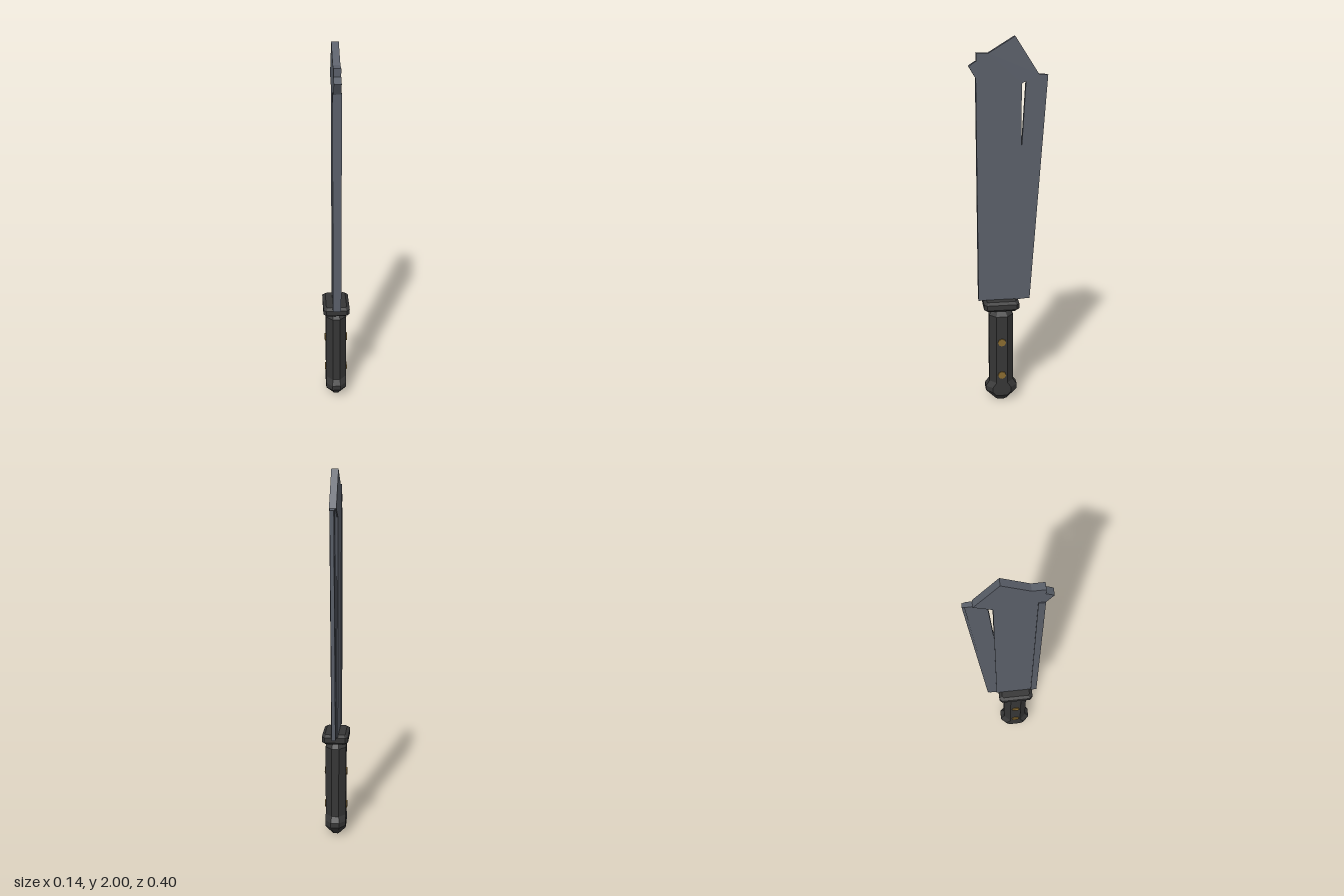
import * as THREE from 'three';

const steel = new THREE.MeshStandardMaterial({ color: 0x5a5f69 });
steel.name = 'steel';
const grip = new THREE.MeshStandardMaterial({ color: 0x363636 });
grip.name = 'dark grip';
const brass = new THREE.MeshStandardMaterial({ color: 0x8a6c30 });
brass.name = 'brass';

const HANDLE_Z = 0.043;

// Flat plate from a [z, y] outline, centred on x = 0
function plate(name, outline, halfThickness) {
  const shape = new THREE.Shape(outline.map(([z, y]) => new THREE.Vector2(z, y)));
  const geo = new THREE.ExtrudeGeometry(shape, { depth: halfThickness * 2, bevelEnabled: false });
  geo.translate(0, 0, -halfThickness);
  geo.rotateY(-Math.PI / 2);
  const mesh = new THREE.Mesh(geo, steel);
  mesh.name = name;
  return mesh;
}

// Faceted solid through chamfered rectangles: [y, halfX, halfZ, chamferX, chamferZ]
function loft(name, rings) {
  const points = rings.map(([y, w, d, cx, cz]) => [
    [w, d - cz], [w, cz - d], [w - cx, -d], [cx - w, -d],
    [-w, cz - d], [-w, d - cz], [cx - w, d], [w - cx, d],
  ].map(([x, z]) => [x, y, z]));
  const pos = [];
  const tri = (a, b, c) => pos.push(...a, ...b, ...c);
  const last = points[points.length - 1];
  for (let i = 0; i < 8; i++) {
    const j = (i + 1) % 8;
    for (let r = 0; r < points.length - 1; r++) {
      const lo = points[r], hi = points[r + 1];
      tri(lo[i], lo[j], hi[j]);
      tri(lo[i], hi[j], hi[i]);
    }
    tri([0, rings[0][0], 0], points[0][j], points[0][i]);
    tri([0, rings[rings.length - 1][0], 0], last[i], last[j]);
  }
  const geo = new THREE.BufferGeometry();
  geo.setAttribute('position', new THREE.Float32BufferAttribute(pos, 3));
  geo.computeVertexNormals();
  const mesh = new THREE.Mesh(geo, grip);
  mesh.name = name;
  mesh.position.z = HANDLE_Z;
  return mesh;
}

export function createModel() {
  const model = new THREE.Group();
  model.name = 'machete';

  // Blade body with the pointed tip
  model.add(plate('bladeBody', [
    [0.162, 0.61], [0.162, 1.92], [0.1, 1.92], [-0.032, 2.0],
    [-0.152, 1.815], [-0.065, 1.77], [-0.065, 0.607],
  ], 0.018));

  // Thinner cutting side, leaving a narrow slot beside the body
  model.add(plate('bladeBevel', [
    [-0.06, 0.607], [-0.06, 1.44], [-0.068, 1.46], [-0.088, 1.79],
    [-0.152, 1.815], [-0.188, 1.812], [-0.105, 0.607],
  ], 0.0125));
  model.add(plate('cuttingEdge', [
    [-0.1, 0.606], [-0.182, 1.811], [-0.199, 1.81], [-0.115, 0.606],
  ], 0.01));

  // Thick spine and the small hook above it
  model.add(plate('spine', [[0.132, 0.61], [0.165, 0.61], [0.165, 1.8], [0.132, 1.8]], 0.022));
  model.add(plate('spineHook', [[0.155, 1.79], [0.165, 1.798], [0.2, 1.857], [0.165, 1.88], [0.155, 1.88]], 0.0182));

  // Guard
  model.add(loft('guard', [
    [0.555, 0.055, 0.079, 0.008, 0.008],
    [0.569, 0.071, 0.096, 0.016, 0.016],
    [0.597, 0.071, 0.096, 0.016, 0.016],
    [0.61, 0.055, 0.079, 0.008, 0.008],
  ]));

  // Grip, narrowing under the guard
  model.add(loft('handleGrip', [
    [0.1, 0.056, 0.066, 0.036, 0.036],
    [0.522, 0.056, 0.066, 0.036, 0.036],
    [0.552, 0.032, 0.042, 0.018, 0.022],
    [0.565, 0.032, 0.042, 0.018, 0.022],
  ]));

  // Flared pommel
  model.add(loft('pommel', [
    [0, 0.022, 0.03, 0.01, 0.014],
    [0.04, 0.056, 0.066, 0.036, 0.036],
    [0.062, 0.057, 0.087, 0.034, 0.036],
    [0.09, 0.057, 0.087, 0.034, 0.036],
    [0.12, 0.056, 0.066, 0.036, 0.036],
  ]));

  // Rivets passing through the grip
  for (const y of [0.17, 0.37]) {
    const geo = new THREE.CylinderGeometry(0.022, 0.022, 0.124, 8).toNonIndexed();
    geo.computeVertexNormals();
    geo.rotateZ(Math.PI / 2);
    const rivet = new THREE.Mesh(geo, brass);
    rivet.name = 'rivet';
    rivet.position.set(0, y, HANDLE_Z);
    model.add(rivet);
  }
  return model;
}
